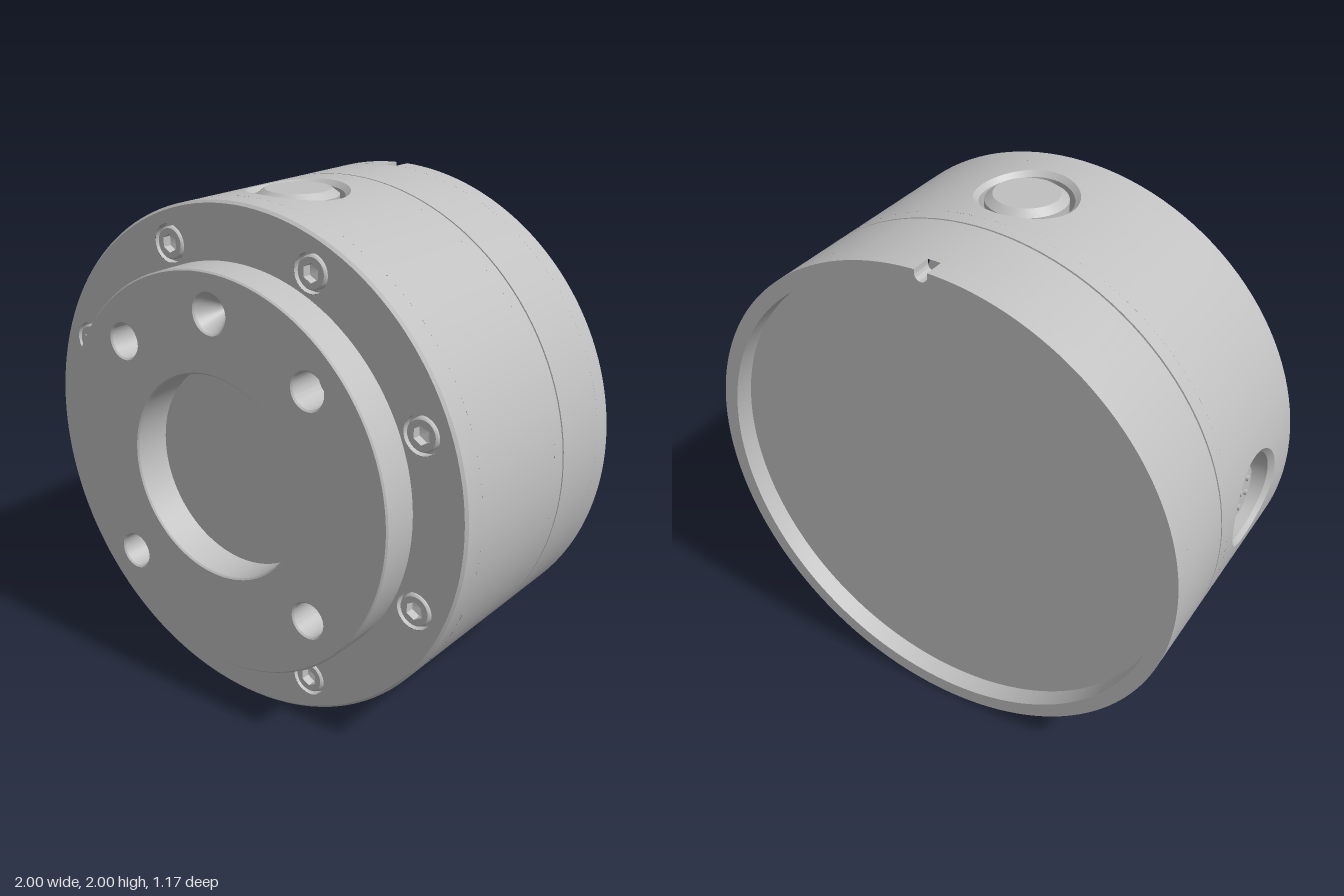
import * as THREE from 'three';
import { toCreasedNormals } from 'three/addons/utils/BufferGeometryUtils.js';
import { ParametricGeometry } from 'three/addons/geometries/ParametricGeometry.js';

const metal = new THREE.MeshStandardMaterial({ color: 0xc0c0c0 });
metal.name = 'machined grey metal';

const SEG = 128;
const PORT_Z = 0.08, PATCH = 0.25;      // port centre along z, half size of the wall patch around it

function add(parent, name, geometry) {
  const mesh = new THREE.Mesh(geometry, metal);
  mesh.name = name;
  parent.add(mesh);
  return mesh;
}

// Revolved profile of [radius, height] points, about y
function revolve(points, segments = SEG) {
  const g = new THREE.LatheGeometry(points.map(p => new THREE.Vector2(...p)), segments);
  return toCreasedNormals(g, 0.5);
}
// The same, with the axis turned to z
const revolveZ = (points, segments) => revolve(points, segments).rotateX(Math.PI / 2);

function circle(x, y, r) {
  return new THREE.Path().absarc(x, y, r, 0, Math.PI * 2, true);
}

function disc(r) {
  return new THREE.Shape().absarc(0, 0, r, 0, Math.PI * 2, false);
}

// Rear rim with the small round-bottomed index notch at the top
function rearRim() {
  const w = 0.026, a = Math.asin(w);
  const s = new THREE.Shape();
  s.absarc(0, 0, 1, Math.PI / 2 + a, Math.PI * 2.5 - a, false);
  s.lineTo(w, 0.985);
  s.absarc(0, 0.985, w, 0, Math.PI, true);
  s.closePath();
  s.holes.push(circle(0, 0, 0.94));
  const g = new THREE.ExtrudeGeometry(s, { depth: 0.08, bevelEnabled: false, curveSegments: SEG });
  return toCreasedNormals(g, 0.5).translate(0, 0, -0.59);
}

// Curved wall patch with a chamfered round bore; the bore points along +y
function port(name) {
  const group = new THREE.Group();
  group.name = name;
  const surface = x => Math.sqrt(1 - x * x);
  const rim = 0.195, bore = 0.175, floor = 0.86;
  const ring = (fn, v) => new ParametricGeometry((u, k, p) => {
    const t = u * Math.PI * 2;
    fn(Math.cos(t), Math.sin(t), k, p);
  }, 64, v);

  add(group, 'portWall', ring((c, s, k, p) => {
    const r = THREE.MathUtils.lerp(rim, PATCH / Math.max(Math.abs(c), Math.abs(s)), k);
    p.set(r * c, surface(r * c), r * s);
  }, 4));
  add(group, 'portChamfer', ring((c, s, k, p) => {
    const r = THREE.MathUtils.lerp(bore, rim, k);
    p.set(r * c, surface(r * c) - 0.02 * (1 - k), r * s);
  }, 1));
  add(group, 'portBore', ring((c, s, k, p) => {
    p.set(bore * c, THREE.MathUtils.lerp(floor, surface(bore * c) - 0.02, k), bore * s);
  }, 1));
  add(group, 'portFloor', new THREE.CircleGeometry(bore, 64).rotateX(-Math.PI / 2)).position.y = floor;
  group.position.z = PORT_Z;
  return group;
}

// Multi-pin socket seated inside a port
function addPins(group) {
  add(group, 'pinInsert', revolve([[0.11, 0.86], [0.11, 0.94], [0, 0.94]], 48));
  for (let i = 0; i < 7; i++) {
    const a = i * Math.PI / 3, r = i < 6 ? 0.068 : 0;
    const pin = add(group, 'pin', new THREE.CylinderGeometry(0.012, 0.012, 0.012, 12));
    pin.position.set(r * Math.cos(a), 0.945, r * Math.sin(a));
  }
}

// Socket-head screw in its counterbore
function screw() {
  const group = new THREE.Group();
  group.name = 'screw';
  add(group, 'screwHead', revolveZ(
    [[0.073, 0], [0.073, -0.03], [0.062, -0.03], [0.062, -0.006], [0.056, 0]], 32));
  const top = disc(0.056);
  const hex = new THREE.Path();
  hex.setFromPoints(Array.from({ length: 7 }, (_, i) => {
    const a = Math.PI / 6 - i * Math.PI / 3;
    return new THREE.Vector2(0.036 * Math.cos(a), 0.036 * Math.sin(a));
  }));
  top.holes.push(hex);
  add(group, 'screwTop', new THREE.ShapeGeometry(top, 32));
  add(group, 'hexSocket', revolveZ([[0.036, 0], [0.036, -0.035], [0, -0.045]], 6));
  return group;
}

export function createModel() {
  const root = new THREE.Group();
  root.name = 'flangedHousing';
  const body = new THREE.Group();
  body.name = 'body';
  body.position.y = 1;
  root.add(body);

  // Rear cover: rim, recessed plate, wall and seam groove
  add(body, 'rearRim', rearRim());
  add(body, 'rearPlate', new THREE.CircleGeometry(0.95, SEG).rotateY(Math.PI)).position.z = -0.51;
  add(body, 'rearWall', revolveZ([
    [1, -0.51], [1, -0.239], [0.99, -0.238], [0.99, -0.232], [1, -0.231], [1, PORT_Z - PATCH]]));

  // Middle band between the three ports
  const a = Math.asin(PATCH);
  for (const [start, end] of [[0, 1], [1, 1.5], [1.5, 2]]) {
    const g = new THREE.CylinderGeometry(1, 1, PATCH * 2, 64, 1, true,
      start * Math.PI + a, (end - start) * Math.PI - 2 * a);
    add(body, 'middleWall', g.rotateX(Math.PI / 2)).position.z = PORT_Z;
  }

  // Ports: capped one on top, pin sockets on the side and underneath
  const topPort = port('topPort');
  add(topPort, 'portCap', revolve([[0.155, 0.86], [0.155, 0.975], [0.125, 0.998], [0, 0.998]], 48));
  const sidePort = port('sidePort');
  sidePort.rotation.z = Math.PI / 2;
  const bottomPort = port('bottomPort');
  bottomPort.rotation.z = Math.PI;
  addPins(sidePort);
  addPins(bottomPort);
  body.add(topPort, sidePort, bottomPort);

  // Front edge and flange face with eight screws
  add(body, 'frontEdge', revolveZ([[1, PORT_Z + PATCH], [1, 0.42], [0.99, 0.43]]));
  const face = disc(0.99);
  for (let i = 0; i < 8; i++) {
    const t = (22.1 + 45 * i) * Math.PI / 180;
    const x = 0.87 * Math.cos(t), y = 0.87 * Math.sin(t);
    face.holes.push(circle(x, y, 0.073));
    const s = screw();
    s.position.set(x, y, 0.43);
    body.add(s);
  }
  add(body, 'flangeFace', new THREE.ShapeGeometry(face, 64)).position.z = 0.43;

  // Raised boss with centre bore, four mounting holes and a drilled cone
  const boss = disc(0.783);
  boss.holes.push(circle(0, 0, 0.398), circle(0, 0.63, 0.074));
  for (const x of [-0.442, 0.442])
    for (const y of [-0.442, 0.442]) boss.holes.push(circle(x, y, 0.068));
  const bossGeometry = new THREE.ExtrudeGeometry(boss, {
    depth: 0.144, bevelThickness: 0.006, bevelSize: 0.006, bevelOffset: -0.006,
    bevelSegments: 1, curveSegments: 64 });
  add(body, 'boss', toCreasedNormals(bossGeometry, 0.5)).position.z = 0.43;
  add(body, 'locatingCone', revolveZ([[0.076, 0.57], [0, 0.45]], 32)).position.y = 0.63;

  return root;
}
